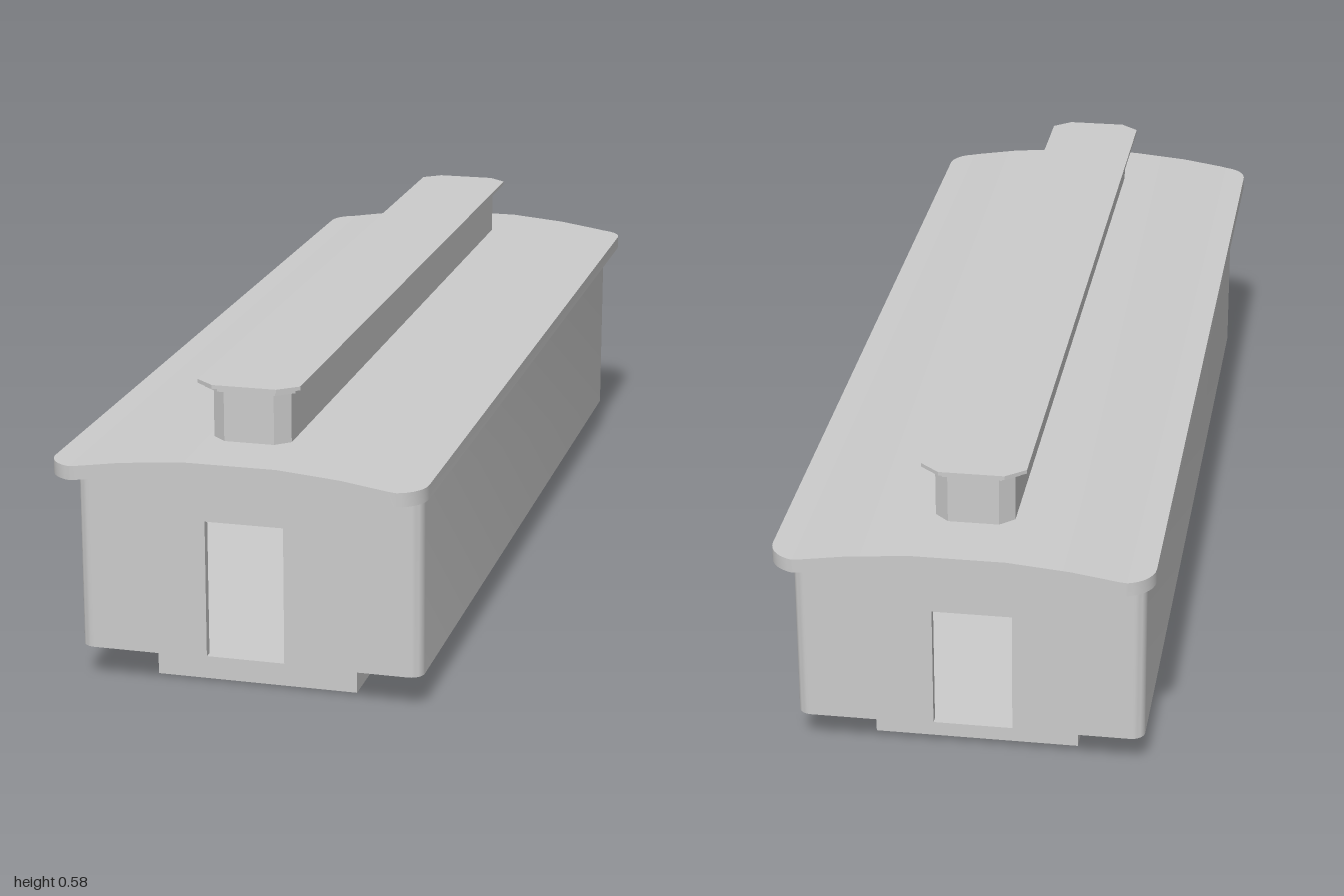
import * as THREE from 'three';
import { toCreasedNormals } from 'three/addons/utils/BufferGeometryUtils.js';

const material = new THREE.MeshStandardMaterial({ color: 0xcccccc });

// Joins a row of four-cornered cross-sections into a closed solid
function loft(sections) {
  const pos = [];
  const quad = (a, b, c, d) => pos.push(...a, ...b, ...c, ...a, ...c, ...d);
  for (let i = 0; i < sections.length - 1; i++) {
    const a = sections[i], b = sections[i + 1];
    for (let j = 0; j < 4; j++) {
      const k = (j + 1) % 4;
      quad(a[j], a[k], b[k], b[j]);
    }
  }
  const [p0, p1, p2, p3] = sections[0];
  quad(p0, p3, p2, p1);
  quad(...sections[sections.length - 1]);
  const g = new THREE.BufferGeometry();
  g.setAttribute('position', new THREE.Float32BufferAttribute(pos, 3));
  return toCreasedNormals(g, 0.6);
}

// Height of the roof's underside across the width
const roofProfile = [[0.085, 0.445], [0.2, 0.435], [0.3, 0.42], [0.345, 0.42]];
function underside(x) {
  const ax = Math.abs(x);
  if (ax <= roofProfile[0][0]) return roofProfile[0][1];
  for (let i = 1; i < roofProfile.length; i++) {
    const [x0, y0] = roofProfile[i - 1], [x1, y1] = roofProfile[i];
    if (ax <= x1) return y0 + (y1 - y0) * (ax - x0) / (x1 - x0);
  }
  return 0.42;
}

// Arched roof slab with rounded plan corners
function roofGeometry() {
  const W = 0.345, L = 1, R = 0.06, T = 0.026;
  const half = [[0.085, L], [0.2, L], [W - R, L], [0.3, 0]];
  for (let i = 1; i <= 8; i++) half.push([W - R + R * Math.sin(i * Math.PI / 16), 0]);
  half.sort((a, b) => a[0] - b[0]);
  const xs = [...half.map(p => -p[0]).reverse(), ...half.map(p => p[0])];
  return loft(xs.map(x => {
    const d = Math.max(0, Math.abs(x) - (W - R));
    const h = L - R + Math.sqrt(Math.max(0, R * R - d * d));
    const y = underside(x);
    return [[x, y + T, h], [x, y, h], [x, y, -h], [x, y + T, -h]];
  }));
}

// Body shell, walked anticlockwise in plan
const BX = 0.323, BZ = 0.9, BR = 0.025, WALL = 0.016, FLOOR = 0.065;
const DOOR = [-0.08, 0.067];

function wallSection(x, z, nx, nz, bottom) {
  const ix = x - nx * WALL, iz = z - nz * WALL, top = underside(x) + 0.004;
  return [[x, top, z], [x, bottom, z], [ix, bottom, iz], [ix, top, iz]];
}

// One long side with both end returns up to the door jambs
function sideWall(jamb, s) {
  const path = [jamb, 0.085, 0.2].map(x => [x, BZ, 0, 1]);
  for (let i = 0; i <= 6; i++) {
    const a = i * Math.PI / 12, nx = Math.sin(a), nz = Math.cos(a);
    path.push([BX - BR + BR * nx, BZ - BR + BR * nz, nx, nz]);
  }
  const back = path.map(([x, z, nx, nz]) => [x, -z, nx, -nz]).reverse();
  return loft([...path, ...back].map(([x, z, nx, nz]) => wallSection(s * x, s * z, s * nx, s * nz, FLOOR)));
}

// Wall above a door
function lintel(s, bottom) {
  const xs = s > 0 ? DOOR : [...DOOR].reverse();
  return loft(xs.map(x => wallSection(x, s * BZ, 0, s, bottom)));
}

// Flat plate with the given plan shape
function plate(shape, y, height) {
  const g = new THREE.ExtrudeGeometry(shape, { depth: height, bevelEnabled: false, curveSegments: 6 });
  g.rotateX(-Math.PI / 2).translate(0, y, 0);
  return toCreasedNormals(g, 0.6);
}

function roundedPlan(w, l, r) {
  const s = new THREE.Shape();
  s.absarc(w - r, l - r, r, 0, Math.PI / 2);
  s.absarc(-w + r, l - r, r, Math.PI / 2, Math.PI);
  s.absarc(-w + r, -l + r, r, Math.PI, Math.PI * 1.5);
  s.absarc(w - r, -l + r, r, Math.PI * 1.5, Math.PI * 2);
  return s;
}

// Long octagon, slightly off centre
function chamferedPlan(x0, x1, l, cx, cz) {
  return new THREE.Shape([
    [x0 + cx, -l], [x1 - cx, -l], [x1, -l + cz], [x1, l - cz],
    [x1 - cx, l], [x0 + cx, l], [x0, l - cz], [x0, -l + cz],
  ].map(p => new THREE.Vector2(...p)));
}

export function createModel() {
  const group = new THREE.Group();
  const add = (name, geometry) => {
    const mesh = new THREE.Mesh(geometry, material);
    mesh.name = name;
    group.add(mesh);
    return mesh;
  };

  // Underframe and floor
  add('underframe', new THREE.BoxGeometry(0.381, FLOOR, 1.676)).position.set(-0.003, FLOOR / 2, 0.002);
  add('floor', plate(roundedPlan(BX - 0.001, BZ - 0.001, BR), FLOOR, 0.003));

  // Hollow body with a doorway at each end
  add('leftWall', sideWall(DOOR[1], 1));
  add('rightWall', sideWall(-DOOR[0], -1));
  add('frontLintel', lintel(1, 0.328));
  add('backLintel', lintel(-1, 0.303));

  // Roof
  add('roof', roofGeometry());

  // Raised roof section with its stepped cap
  add('raisedRoofWall', plate(chamferedPlan(-0.078, 0.067, 0.863, 0.026, 0.024), 0.468, 0.099));
  add('raisedRoofFlange', plate(chamferedPlan(-0.09, 0.078, 0.877, 0.03, 0.025), 0.567, 0.008));
  add('raisedRoofCap', plate(chamferedPlan(-0.102, 0.089, 0.888, 0.036, 0.03), 0.575, 0.007));

  return group;
}
